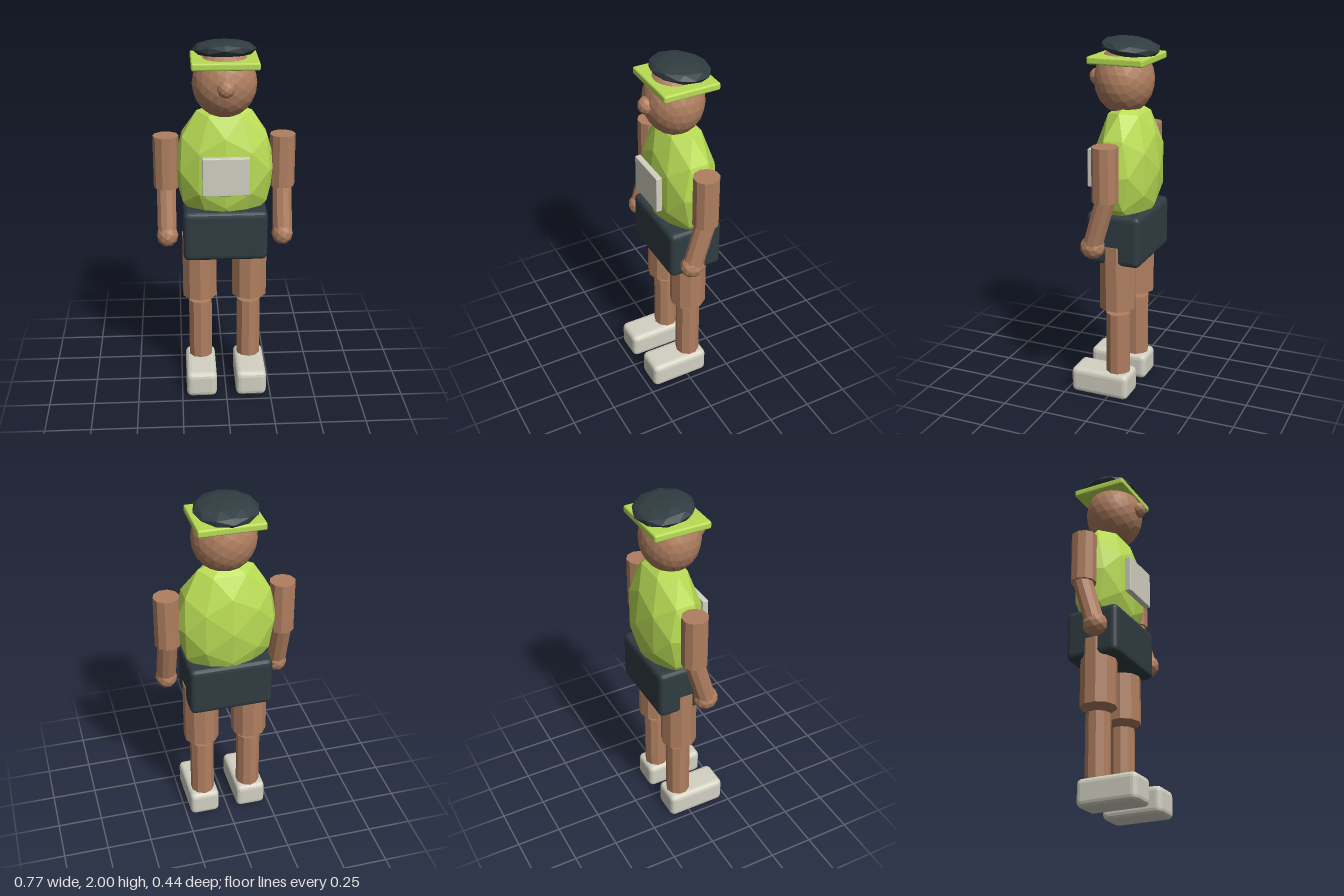
import * as THREE from 'three';
import { RoundedBoxGeometry } from 'three/addons/geometries/RoundedBoxGeometry.js';

const material = (color) => new THREE.MeshStandardMaterial({ color, flatShading: true });

export function createModel() {
  const model = new THREE.Group();
  const skin = material(0xb07f60);
  const lime = material(0xb9dc55);
  const dark = material(0x303c41);
  const pale = material(0xd3d1c3);

  const add = (name, geometry, mat, position) => {
    const mesh = new THREE.Mesh(geometry, mat);
    mesh.name = name;
    mesh.position.set(...position);
    model.add(mesh);
    return mesh;
  };
  // Faceted ellipsoid
  const blob = (name, mat, position, radii, detail) =>
    add(name, new THREE.IcosahedronGeometry(1, detail).scale(...radii), mat, position);
  // Box with small bevelled edges
  const box = (name, mat, position, size, bevel) =>
    add(name, new RoundedBoxGeometry(...size, 2, bevel), mat, position);
  // Ten-sided limb between two points
  const limb = (name, from, to, radius, turn = 0) => {
    const a = new THREE.Vector3(...from);
    const b = new THREE.Vector3(...to);
    const geometry = new THREE.CylinderGeometry(radius, radius, a.distanceTo(b), 10).rotateY(turn);
    const mesh = add(name, geometry, skin, a.clone().add(b).multiplyScalar(0.5).toArray());
    mesh.quaternion.setFromUnitVectors(new THREE.Vector3(0, 1, 0), a.sub(b).normalize());
  };

  // Head, nose and headwear
  blob('head', skin, [0, 1.775, -0.015], [0.172, 0.185, 0.16], 3);
  blob('nose', skin, [0, 1.78, 0.137], [0.047, 0.049, 0.047], 1);
  box('visor', lime, [0, 1.89, -0.03], [0.354, 0.04, 0.312], 0.01);
  const cap = blob('cap', dark, [0, 1.947, -0.05], [0.17, 0.05, 0.16], 1);
  cap.rotation.x = -0.12;

  // Torso and hips
  blob('torso', lime, [0, 1.305, -0.045], [0.282, 0.37, 0.174], 1);
  box('chestPanel', pale, [0, 1.305, 0.132], [0.25, 0.21, 0.034], 0.005);
  box('shorts', dark, [0, 0.948, -0.038], [0.46, 0.285, 0.306], 0.03);

  // Arms and legs, mirrored
  for (const [side, s] of [['left', 1], ['right', -1]]) {
    limb(side + 'UpperArm', [s * 0.315, 1.485, -0.038], [s * 0.315, 1.195, -0.038], 0.07, Math.PI / 2);
    limb(side + 'Forearm', [s * 0.317, 1.215, -0.045], [s * 0.317, 0.94, 0.035], 0.054);
    blob(side + 'Hand', skin, [s * 0.316, 0.935, 0.035], [0.06, 0.065, 0.068], 1);
    limb(side + 'Thigh', [s * 0.14, 0.91, -0.035], [s * 0.14, 0.54, -0.035], 0.1);
    limb(side + 'Shin', [s * 0.138, 0.505, -0.037], [s * 0.138, 0.12, -0.037], 0.068);
    box(side + 'Shoe', pale, [s * 0.14, 0.075, 0.05], [0.172, 0.15, 0.34], 0.03);
  }
  return model;
}
